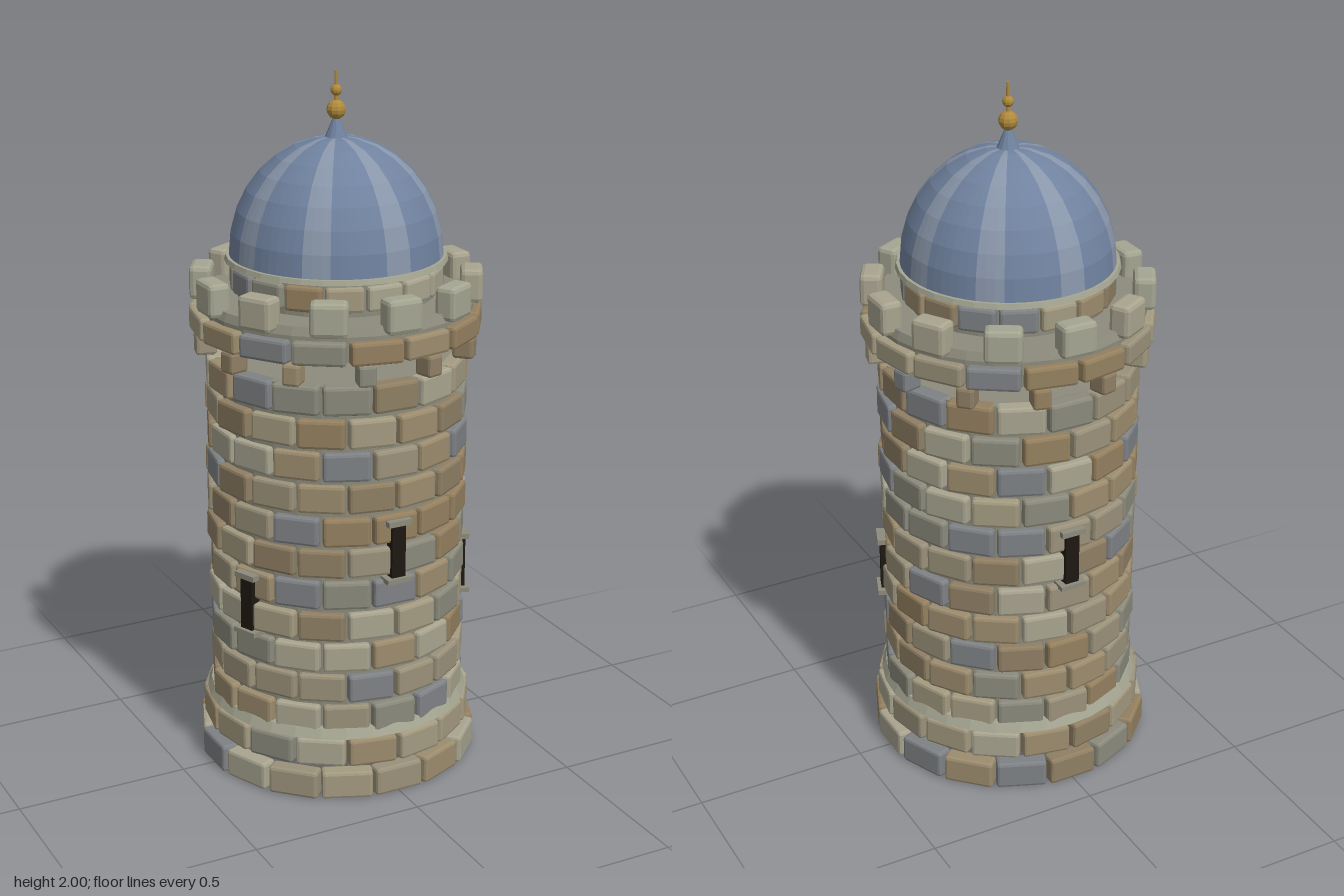
import * as THREE from 'three';
import { RoundedBoxGeometry } from 'three/addons/geometries/RoundedBoxGeometry.js';

const material = (color) => new THREE.MeshStandardMaterial({ color, flatShading: true, side: THREE.DoubleSide });
const STONES = [0x8f7f64, 0x9c8c6e, 0xa39a80, 0x8b8a7c, 0xa8a48f, 0x7f8285, 0x94805f, 0x9a917a].map(material);
const pale = material(0xa4a591);
const mortar = material(0x8c8b7c);
const dark = material(0x1d1812);
const gold = material(0xb08a3c);
const blue = material(0x70829f);
const lightBlue = material(0x8996aa);

// Small seeded generator for stone variation
let seed = 7;
function rand() {
  seed = (seed * 16807) % 2147483647;
  return seed / 2147483647;
}

function add(parent, name, geometry, mat, x = 0, y = 0, z = 0) {
  const mesh = new THREE.Mesh(geometry, mat);
  mesh.name = name;
  mesh.position.set(x, y, z);
  parent.add(mesh);
  return mesh;
}

// Ring of chamfered blocks, outer faces at radius r
function blockRing(parent, name, { n, y, r, w, h, d, offset = 0, jitter = 0, mats = STONES, bevel = 0.009 }) {
  const ring = new THREE.Group();
  ring.name = name;
  const geometry = new RoundedBoxGeometry(w, h, d, 1, bevel);
  for (let i = 0; i < n; i++) {
    const a = ((i + offset) / n) * Math.PI * 2;
    const rc = r - d / 2 + (rand() - 0.5) * jitter;
    const mat = mats[Math.floor(rand() * mats.length)];
    add(ring, name + 'Block', geometry, mat, Math.sin(a) * rc, y, Math.cos(a) * rc).rotation.y = a;
  }
  parent.add(ring);
}

function disc(parent, name, rTop, rBottom, y0, y1, mat, sides = 32) {
  return add(parent, name, new THREE.CylinderGeometry(rTop, rBottom, y1 - y0, sides), mat, 0, (y0 + y1) / 2, 0);
}

export function createModel() {
  const tower = new THREE.Group();
  tower.name = 'roundTower';

  // Stone courses, the lowest two flared out as a footing
  const N = 16;
  for (let i = 0; i < 13; i++) {
    const r = i === 0 ? 0.402 : i === 1 ? 0.387 : 0.366;
    const d = 0.05;
    blockRing(tower, i < 2 ? 'footingCourse' : 'wallCourse', {
      n: N, y: 0.042 + i * 0.0945, r, d, h: 0.082,
      w: 2 * (r - d / 2) * Math.tan(Math.PI / N) - 0.005,
      offset: (i % 2) / 2, jitter: 0.008,
    });
  }

  // Solid core behind the stones and the ledge above the footing
  disc(tower, 'wallCore', 0.348, 0.348, 0.19, 1.215, mortar);
  disc(tower, 'footingLedge', 0.37, 0.382, 0.178, 0.205, pale);

  // Arrow slits with lintel and sill: [angle in degrees, centre height]
  for (const [deg, y] of [[0, 0.735], [180, 0.735], [69, 0.553], [-69, 0.553]]) {
    const slit = new THREE.Group();
    slit.name = 'arrowSlit';
    add(slit, 'slitOpening', new THREE.BoxGeometry(0.042, 0.16, 0.04), dark, 0, y, 0.358);
    add(slit, 'slitLintel', new THREE.BoxGeometry(0.072, 0.016, 0.045), mortar, 0, y + 0.084, 0.364);
    add(slit, 'slitSill', new THREE.BoxGeometry(0.078, 0.014, 0.05), mortar, 0, y - 0.085, 0.364);
    slit.rotation.y = THREE.MathUtils.degToRad(deg);
    tower.add(slit);
  }

  // Corbels, parapet course, walkway and merlons
  blockRing(tower, 'corbel', { n: 12, y: 1.255, r: 0.402, w: 0.05, h: 0.062, d: 0.06, offset: 0.5 });
  blockRing(tower, 'parapetCourse', { n: N, y: 1.319, r: 0.406, w: 0.145, h: 0.064, d: 0.06, offset: 0.5, jitter: 0.006 });
  disc(tower, 'walkwaySlab', 0.385, 0.385, 1.292, 1.362, mortar);
  disc(tower, 'walkwayTop', 0.375, 0.385, 1.362, 1.385, mortar);
  blockRing(tower, 'merlon', { n: 12, y: 1.411, r: 0.408, w: 0.103, h: 0.095, d: 0.063, mats: [pale, pale, STONES[4]], bevel: 0.013 });

  // Drum under the dome
  disc(tower, 'drumCore', 0.28, 0.28, 1.38, 1.482, mortar);
  blockRing(tower, 'drumCourse', { n: N, y: 1.435, r: 0.296, w: 0.104, h: 0.07, d: 0.04 });
  disc(tower, 'domeRim', 0.308, 0.312, 1.481, 1.495, pale);

  // Dome of 24 gores, every third one light
  const dome = new THREE.Group();
  dome.name = 'dome';
  const gore = Math.PI / 12;
  for (let i = 0; i < 24; i++) {
    const geometry = new THREE.SphereGeometry(1, 1, 8, Math.PI / 2 + i * gore, gore, 0, Math.PI / 2);
    add(dome, 'domeGore', geometry, i % 3 === 0 ? lightBlue : blue);
  }
  dome.scale.set(0.298, 0.327, 0.298);
  dome.position.y = 1.495;
  tower.add(dome);

  // Finial
  disc(tower, 'finialBase', 0.01, 0.034, 1.812, 1.868, blue, 12);
  disc(tower, 'finialRod', 0.005, 0.007, 1.86, 2.0, gold, 8);
  add(tower, 'finialLargeBall', new THREE.SphereGeometry(0.027, 10, 8), gold, 0, 1.893, 0);
  add(tower, 'finialSmallBall', new THREE.SphereGeometry(0.016, 10, 8), gold, 0, 1.946, 0);

  return tower;
}
